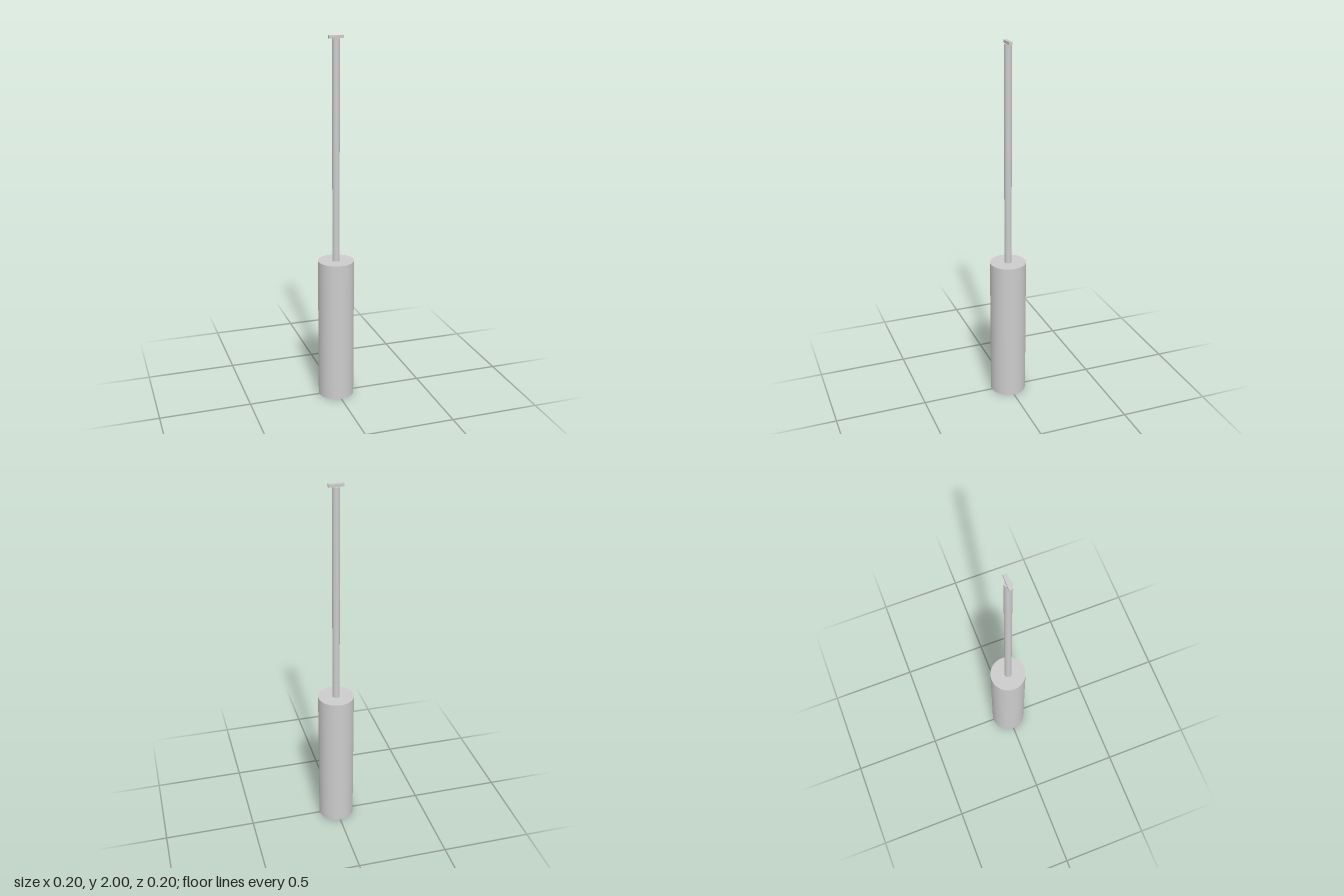
import * as THREE from 'three';

export function createModel() {
  const group = new THREE.Group();
  const material = new THREE.MeshStandardMaterial({ color: 0xcccccc });

  // Adds a part whose underside sits at the given height
  const addPart = (name, geometry, bottom, height) => {
    const mesh = new THREE.Mesh(geometry, material);
    mesh.name = name;
    mesh.position.y = bottom + height / 2;
    group.add(mesh);
  };

  const bodyHeight = 0.794;
  const rodHeight = 1.191;
  const barHeight = 0.015;

  // Wide cylindrical body
  addPart('body', new THREE.CylinderGeometry(0.099, 0.099, bodyHeight, 32), 0, bodyHeight);
  // Slender rod rising from the body
  addPart('rod', new THREE.CylinderGeometry(0.0199, 0.0199, rodHeight, 32), bodyHeight, rodHeight);
  // Small crossbar capping the rod
  addPart('crossbar', new THREE.BoxGeometry(0.079, barHeight, 0.02), bodyHeight + rodHeight, barHeight);

  return group;
}
